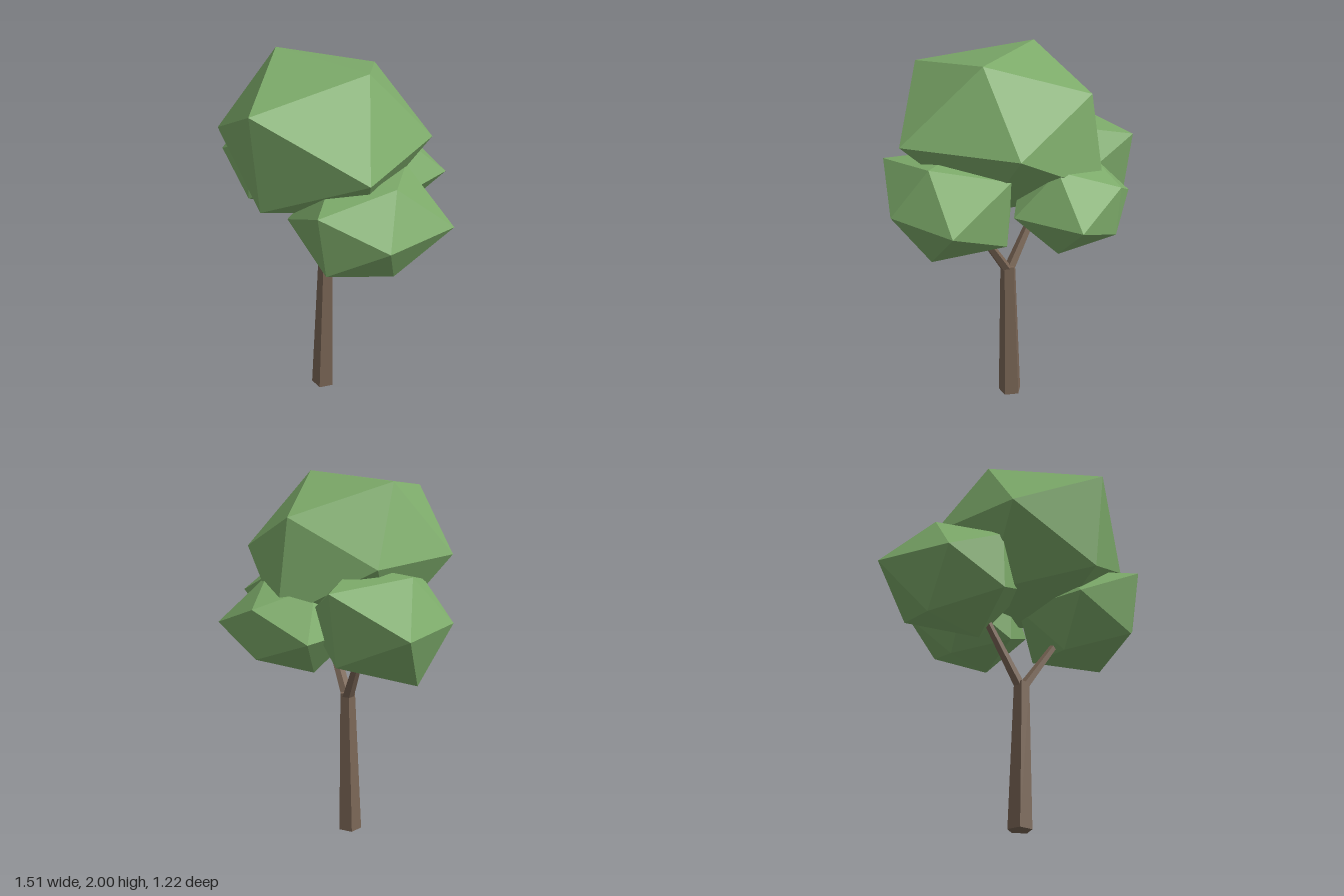
import * as THREE from 'three';

const leafGreen = new THREE.MeshStandardMaterial({ color: 0x7dab6a, flatShading: true });
leafGreen.name = 'leaf green';
const barkBrown = new THREE.MeshStandardMaterial({ color: 0x7a6656, flatShading: true });
barkBrown.name = 'bark brown';

const PHI = (1 + Math.sqrt(5)) / 2;
const SQUASH = 0.82;

// Corner directions, in the same order as the radius lists below
const CORNERS = [
  [-1, PHI, 0], [1, PHI, 0], [-1, -PHI, 0], [1, -PHI, 0],
  [0, -1, PHI], [0, 1, PHI], [0, -1, -PHI], [0, 1, -PHI],
  [PHI, 0, -1], [PHI, 0, 1], [-PHI, 0, -1], [-PHI, 0, 1],
].map((c) => new THREE.Vector3(...c).normalize());

// Squashed icosahedron with every corner pushed in or out by its own radius
function leafClump(name, center, radii) {
  const geometry = new THREE.IcosahedronGeometry(1, 0);
  const pos = geometry.attributes.position;
  const unit = Math.sqrt(1 + PHI * PHI) / PHI;
  const v = new THREE.Vector3();
  for (let i = 0; i < pos.count; i++) {
    v.fromBufferAttribute(pos, i);
    const corner = CORNERS.findIndex((c) => c.distanceTo(v) < 0.01);
    v.multiplyScalar(radii[corner] * unit);
    pos.setXYZ(i, v.x, v.y * SQUASH, v.z);
  }
  geometry.computeVertexNormals();
  const mesh = new THREE.Mesh(geometry, leafGreen);
  mesh.name = name;
  mesh.position.set(...center);
  return mesh;
}

// Tapered five-sided limb whose horizontal cross-sections slide from one point to another
function limb(name, from, to, bottomRadius, topRadius) {
  const height = to[1] - from[1];
  const geometry = new THREE.CylinderGeometry(topRadius, bottomRadius, height, 5);
  geometry.rotateY(Math.PI / 2);
  geometry.translate(0, height / 2, 0);
  const pos = geometry.attributes.position;
  for (let i = 0; i < pos.count; i++) {
    const y = pos.getY(i);
    const t = y / height;
    pos.setXYZ(i,
      pos.getX(i) + THREE.MathUtils.lerp(from[0], to[0], t),
      y + from[1],
      pos.getZ(i) + THREE.MathUtils.lerp(from[2], to[2], t));
  }
  geometry.computeVertexNormals();
  const mesh = new THREE.Mesh(geometry, barkBrown);
  mesh.name = name;
  return mesh;
}

export function createModel() {
  const tree = new THREE.Group();
  tree.name = 'tree';

  // Trunk and its fork
  tree.add(
    limb('trunk', [-0.016, 0, 0.04], [0.004, 0.81, 0.04], 0.066, 0.043),
    limb('leftBranch', [0.012, 0.79, 0.045], [0.24, 1.13, 0.125], 0.034, 0.023),
    limb('rightBranch', [-0.005, 0.79, 0.035], [-0.185, 1.12, -0.05], 0.034, 0.023),
  );

  // Crown: one large clump over three smaller ones
  tree.add(
    leafClump('topFoliage', [-0.02, 1.61, 0.04],
      [0.476, 0.476, 0.45, 0.465, 0.50, 0.56, 0.54, 0.46, 0.48, 0.55, 0.43, 0.46]),
    leafClump('leftFoliage', [0.37, 1.28, 0.2],
      [0.30, 0.305, 0.30, 0.30, 0.315, 0.38, 0.335, 0.36, 0.38, 0.28, 0.33, 0.33]),
    leafClump('rightFoliage', [-0.39, 1.33, -0.11],
      [0.30, 0.31, 0.37, 0.34, 0.32, 0.31, 0.35, 0.40, 0.34, 0.34, 0.37, 0.30]),
    leafClump('backFoliage', [0.04, 1.26, -0.345],
      [0.29, 0.29, 0.265, 0.265, 0.29, 0.29, 0.25, 0.27, 0.335, 0.30, 0.315, 0.30]),
  );
  return tree;
}
